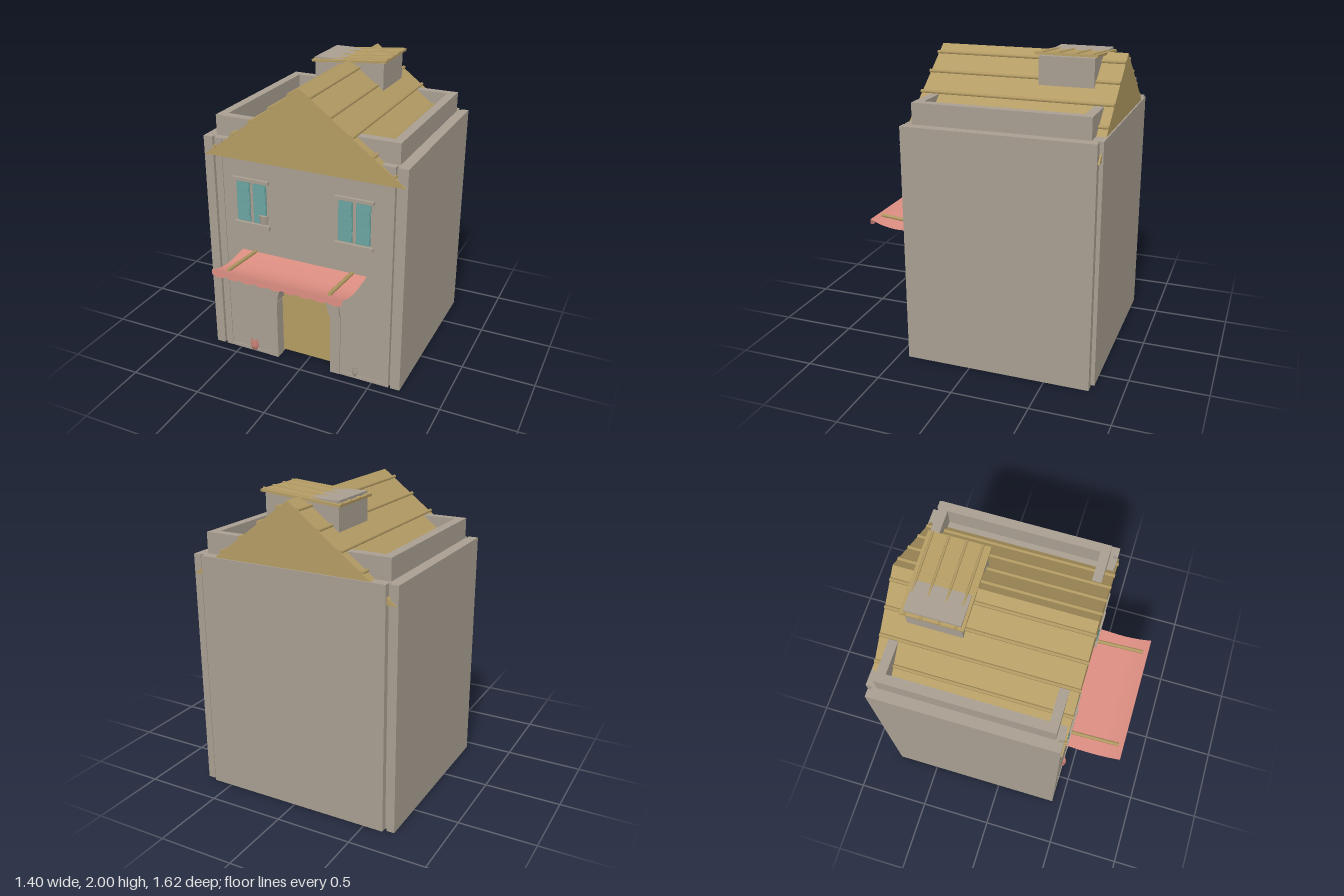
import * as THREE from 'three';

const mat = (name, color, extra = {}) =>
  Object.assign(new THREE.MeshStandardMaterial({ color, ...extra }), { name });

export function createModel() {
  const stone = mat('stone', 0xa89e91);
  const wood = mat('wood', 0xb39b63);
  const teal = mat('teal paint', 0x68a09c);
  const cloth = mat('pink cloth', 0xdd8e82, { side: THREE.DoubleSide });
  const clay = mat('clay', 0xcf8379, { side: THREE.DoubleSide });

  const house = new THREE.Group();
  house.name = 'house';

  const add = (name, geo, material, x = 0, y = 0, z = 0) => {
    const mesh = new THREE.Mesh(geo, material);
    mesh.name = name;
    mesh.position.set(x, y, z);
    house.add(mesh);
    return mesh;
  };
  // box given by its limits on each axis
  const block = (name, material, x0, x1, y0, y1, z0, z1) =>
    add(name, new THREE.BoxGeometry(x1 - x0, y1 - y0, z1 - z0), material,
      (x0 + x1) / 2, (y0 + y1) / 2, (z0 + z1) / 2);
  const extrude = (shape, depth, curveSegments = 8) =>
    new THREE.ExtrudeGeometry(shape, { depth, bevelEnabled: false, curveSegments });
  // thin pole between two points
  const pole = (name, a, b, r, material = wood) => {
    const from = new THREE.Vector3(...a), to = new THREE.Vector3(...b);
    const dir = to.clone().sub(from);
    const mesh = add(name, new THREE.CylinderGeometry(r, r, dir.length(), 6), material);
    mesh.position.copy(from).add(to).multiplyScalar(0.5);
    mesh.quaternion.setFromUnitVectors(new THREE.Vector3(0, 1, 0), dir.normalize());
    return mesh;
  };

  // front wall with an arched doorway
  const front = new THREE.Shape();
  front.moveTo(-0.62, 0);
  front.lineTo(-0.2, 0);
  front.lineTo(-0.2, 0.46);
  front.absarc(0, 0.46, 0.19, Math.PI, 0, true);
  front.lineTo(0.2, 0.46);
  front.lineTo(0.2, 0);
  front.lineTo(0.62, 0);
  front.lineTo(0.62, 1.57);
  front.lineTo(-0.62, 1.57);
  add('frontWall', extrude(front, 0.135), stone, 0, 0, 0.29);

  // back wall, side walls and flat deck
  block('backWall', stone, -0.63, 0.63, 0, 1.57, -0.81, -0.66);
  block('deck', stone, -0.63, 0.63, 1.5, 1.57, -0.77, 0.4);
  for (const s of [-1, 1]) {
    const sideBlock = (name, m, a, b, ...rest) =>
      block(name, m, Math.min(s * a, s * b), Math.max(s * a, s * b), ...rest);
    sideBlock('innerSideWall', stone, 0.56, 0.64, 0, 1.57, -0.77, 0.4);
    sideBlock('sideWall', stone, 0.635, 0.7, 0, 1.57, -0.77, 0.43);
    sideBlock('backCorner', stone, 0.65, 0.7, 0, 1.57, -0.79, -0.76);
    sideBlock('cornerPilaster', stone, 0.57, 0.62, 0, 1.57, 0.4, 0.43);
    sideBlock('parapetSide', stone, 0.57, 0.63, 1.57, 1.705, -0.74, 0.38);
    sideBlock('wallPlinth', stone, 0.27, 0.57, 0, 0.025, 0.41, 0.43);
  }
  block('parapetFront', stone, -0.63, 0.63, 1.57, 1.705, 0.32, 0.38);
  block('parapetBack', stone, -0.63, 0.63, 1.57, 1.705, -0.74, -0.68);

  // gabled roof with purlins lying along the slopes
  const slope = 0.52 / 0.69;
  const gable = new THREE.Shape();
  gable.moveTo(-0.69, 1.45);
  gable.lineTo(0.69, 1.45);
  gable.lineTo(0, 1.97);
  add('gableRoof', extrude(gable, 1.24), wood, 0, 0, -0.8);
  for (const x of [0.07, 0.205, 0.345, 0.48, 0.615]) {
    for (const s of [-1, 1]) {
      const y = 1.975 - x * slope;
      pole('purlin', [s * x, y, -0.8], [s * x, y, 0.447], 0.012);
    }
  }

  // chimney with a tilted lid and battens
  block('chimney', stone, -0.25, 0.245, 1.78, 1.965, -0.65, -0.3);
  const tilt = Math.atan(0.045 / 0.535);
  const lid = block('chimneyLid', wood, -0.27, 0.267, 1.953, 1.969, -0.67, -0.28);
  lid.rotation.z = tilt;
  for (const z of [-0.64, -0.54, -0.43, -0.33])
    pole('lidBatten', [-0.27, 1.946, z], [0.265, 1.992, z], 0.008);

  // arch surround and pillars
  const arch = new THREE.Shape();
  arch.absarc(0, 0.46, 0.27, 0, Math.PI, false);
  arch.lineTo(-0.185, 0.46);
  arch.absarc(0, 0.46, 0.19, Math.PI, 0, true);
  arch.lineTo(0.27, 0.46);
  add('doorArch', extrude(arch, 0.085, 7), stone, 0, 0, 0.36);
  for (const s of [-1, 1])
    block('doorPillar', stone, s * 0.235 - 0.035, s * 0.235 + 0.035, 0, 0.46, 0.33, 0.433);
  block('doorLintel', stone, -0.265, 0.265, 0.672, 0.7, 0.41, 0.436);

  // arched door with planks on its inner face
  const door = new THREE.Shape();
  door.moveTo(-0.2, 0.02);
  door.lineTo(0.2, 0.02);
  door.lineTo(0.2, 0.46);
  door.absarc(0, 0.46, 0.2, 0, Math.PI, false);
  add('door', extrude(door, 0.03), wood, 0, 0, 0.32);
  for (let i = 0; i < 5; i++)
    block('doorPlank', wood, -0.195 + i * 0.08, -0.125 + i * 0.08, 0.02, 0.48, 0.305, 0.322);

  // windows with slatted shutters
  for (const s of [-1, 1]) {
    const cx = s * 0.362;
    block('windowLintel', stone, cx - 0.13, cx + 0.13, 1.305, 1.327, 0.41, 0.445);
    block('windowSill', stone, cx - 0.13, cx + 0.13, 0.985, 1.013, 0.41, 0.445);
    for (const t of [-1, 1]) {
      const sx = cx + t * 0.06;
      block('shutter', teal, sx - 0.048, sx + 0.048, 1.02, 1.303, 0.42, 0.432);
      for (let i = 0; i < 4; i++) {
        const slat = block('shutterSlat', teal, sx - 0.043, sx + 0.043,
          1.03 + i * 0.068, 1.088 + i * 0.068, 0.43, 0.436);
        slat.rotation.x = -0.08;
      }
    }
  }

  // hanging planter and door lantern
  add('planter', new THREE.CylinderGeometry(0.038, 0.032, 0.062, 8), stone, -0.278, 1.053, 0.415);
  block('lantern', wood, 0.265, 0.35, 0.68, 0.78, 0.42, 0.48);
  block('lanternCap', wood, 0.258, 0.357, 0.772, 0.785, 0.42, 0.484);

  // sagging awning with valance and poles
  const sag = new THREE.SplineCurve([[0.425, 0.8], [0.52, 0.79], [0.62, 0.786], [0.72, 0.803], [0.805, 0.835]]
    .map(p => new THREE.Vector2(...p)));
  const awning = new THREE.PlaneGeometry(0.9, 1, 1, 12);
  const pos = awning.attributes.position;
  for (let i = 0; i < pos.count; i++) {
    const p = sag.getPoint(0.5 - pos.getY(i));
    pos.setXYZ(i, pos.getX(i), p.y, p.x);
  }
  awning.computeVertexNormals();
  add('awning', awning, cloth);
  const valance = new THREE.Shape();
  valance.moveTo(0.45, 0.835);
  valance.lineTo(-0.45, 0.835);
  valance.lineTo(-0.45, 0.8);
  for (let i = 0; i < 9; i++)
    valance.quadraticCurveTo(-0.4 + i * 0.1, 0.772, -0.35 + i * 0.1, 0.8);
  add('valance', new THREE.ShapeGeometry(valance, 4), cloth, 0, 0, 0.806);
  for (const s of [-1, 1])
    pole('awningPole', [s * 0.35, 0.803, 0.42], [s * 0.35, 0.835, 0.77], 0.013);

  // pots set against the wall
  const pot = (name, material, x, y, r, h) => {
    const pts = [[0, 0], [0.7, 0], [1, 0.45], [0.8, 0.85], [0.95, 1], [0.75, 1], [0.65, 0.8], [0, 0.75]];
    add(name, new THREE.LatheGeometry(pts.map(p => new THREE.Vector2(p[0] * r, p[1] * h)), 8),
      material, x, y, 0.415);
  };
  pot('clayPot', clay, -0.392, 0.01, 0.036, 0.085);
  pot('stonePot', stone, 0.378, 0.015, 0.024, 0.065);

  // slatted table inside
  for (const x of [-0.48, 0.48])
    for (const z of [-0.43, 0.08])
      block('tableLeg', wood, x - 0.02, x + 0.02, 0, 0.2, z - 0.02, z + 0.02);
  for (const z of [-0.43, 0.08])
    block('tableRail', wood, -0.52, 0.52, 0.17, 0.22, z - 0.04, z + 0.04);
  for (const x of [-0.48, 0.48])
    block('tableEnd', wood, x - 0.04, x + 0.04, 0.17, 0.22, -0.39, 0.04);
  for (let i = 0; i < 16; i++)
    block('tableSlat', wood, -0.44 + i * 0.055, -0.395 + i * 0.055, 0.205, 0.22, -0.4, 0.05);

  return house;
}
